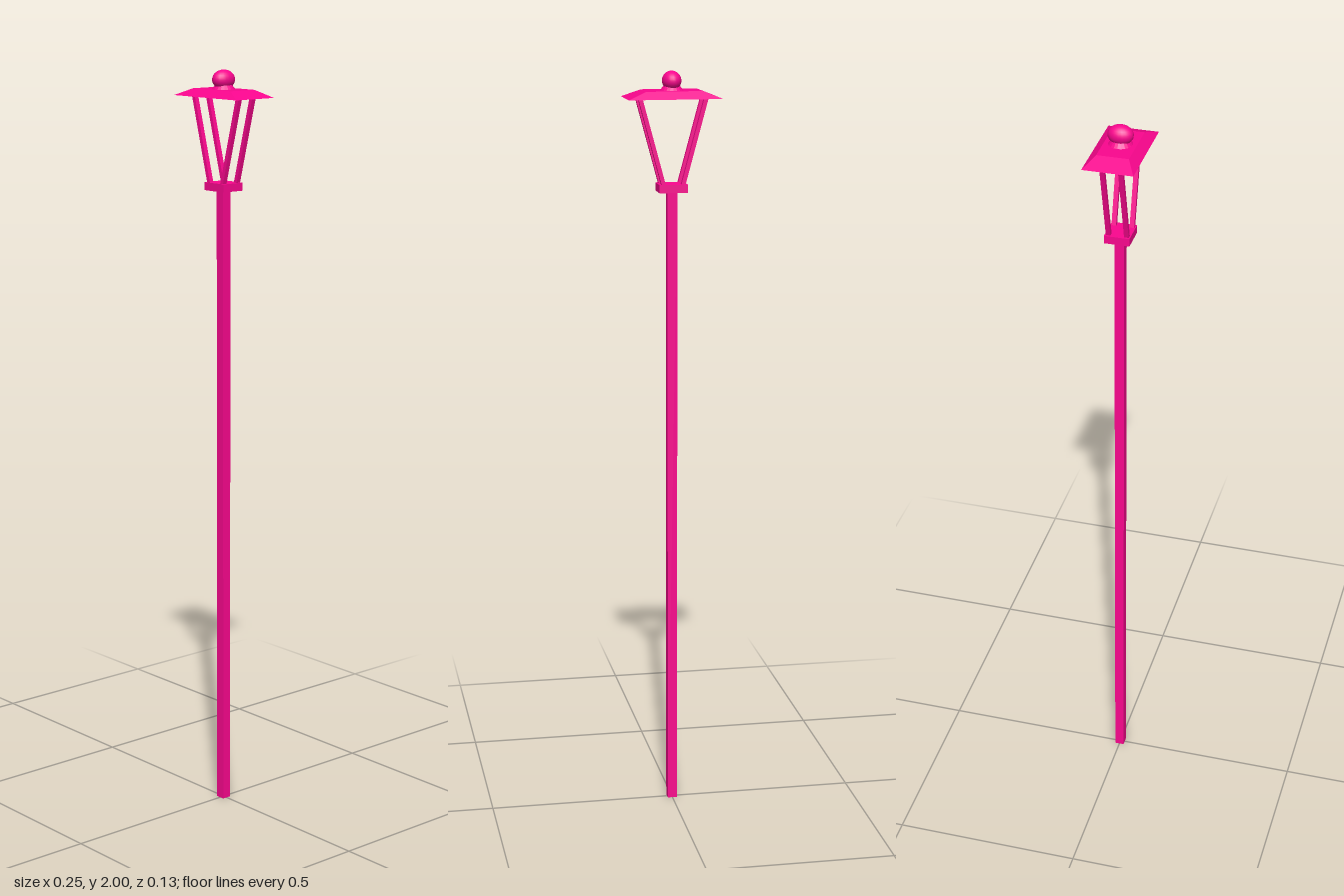
import * as THREE from 'three';

export function createModel() {
  const model = new THREE.Group();
  model.name = 'streetLamp';
  const flat = new THREE.MeshStandardMaterial({ color: 0xfa068e, flatShading: true });
  const smooth = new THREE.MeshStandardMaterial({ color: 0xfa068e });

  function add(name, geometry, material = flat) {
    const mesh = new THREE.Mesh(geometry, material);
    mesh.name = name;
    model.add(mesh);
  }

  // Upright block between two heights
  function block(width, depth, y0, y1) {
    return new THREE.BoxGeometry(width, y1 - y0, depth).translate(0, (y0 + y1) / 2, 0);
  }

  add('pole', block(0.026, 0.025, 0, 1.69));
  add('collar', block(0.075, 0.066, 1.688, 1.709));

  // Four lantern struts, leaning outwards along x only
  const strutHeight = 0.232;
  for (const sx of [-1, 1]) {
    for (const sz of [-1, 1]) {
      const strut = new THREE.BoxGeometry(0.011, strutHeight, 0.012);
      const p = strut.attributes.position;
      for (let i = 0; i < p.count; i++) {
        const t = p.getY(i) / strutHeight + 0.5;
        p.setX(i, p.getX(i) + sx * (0.025 + 0.063 * t));
      }
      strut.translate(0, 1.821, sz * 0.0235);
      strut.computeVertexNormals();
      add('lanternStrut', strut);
    }
  }

  // Roof: a flat block whose top is drawn in on all sides
  const roof = new THREE.BoxGeometry(0.245, 0.019, 0.13);
  const r = roof.attributes.position;
  for (let i = 0; i < r.count; i++) {
    if (r.getY(i) > 0) r.setXYZ(i, Math.sign(r.getX(i)) * 0.074, r.getY(i), Math.sign(r.getZ(i)) * 0.041);
  }
  roof.translate(0, 1.9405, 0);
  roof.computeVertexNormals();
  add('roof', roof);

  // Finial: round foot and a ball stretched along z
  add('finialFoot', new THREE.CylinderGeometry(0.022, 0.031, 0.011, 20).translate(0, 1.955, 0));
  add('finialBall', new THREE.SphereGeometry(1, 20, 14).scale(0.025, 0.0255, 0.033).translate(0, 1.9745, 0), smooth);

  return model;
}
